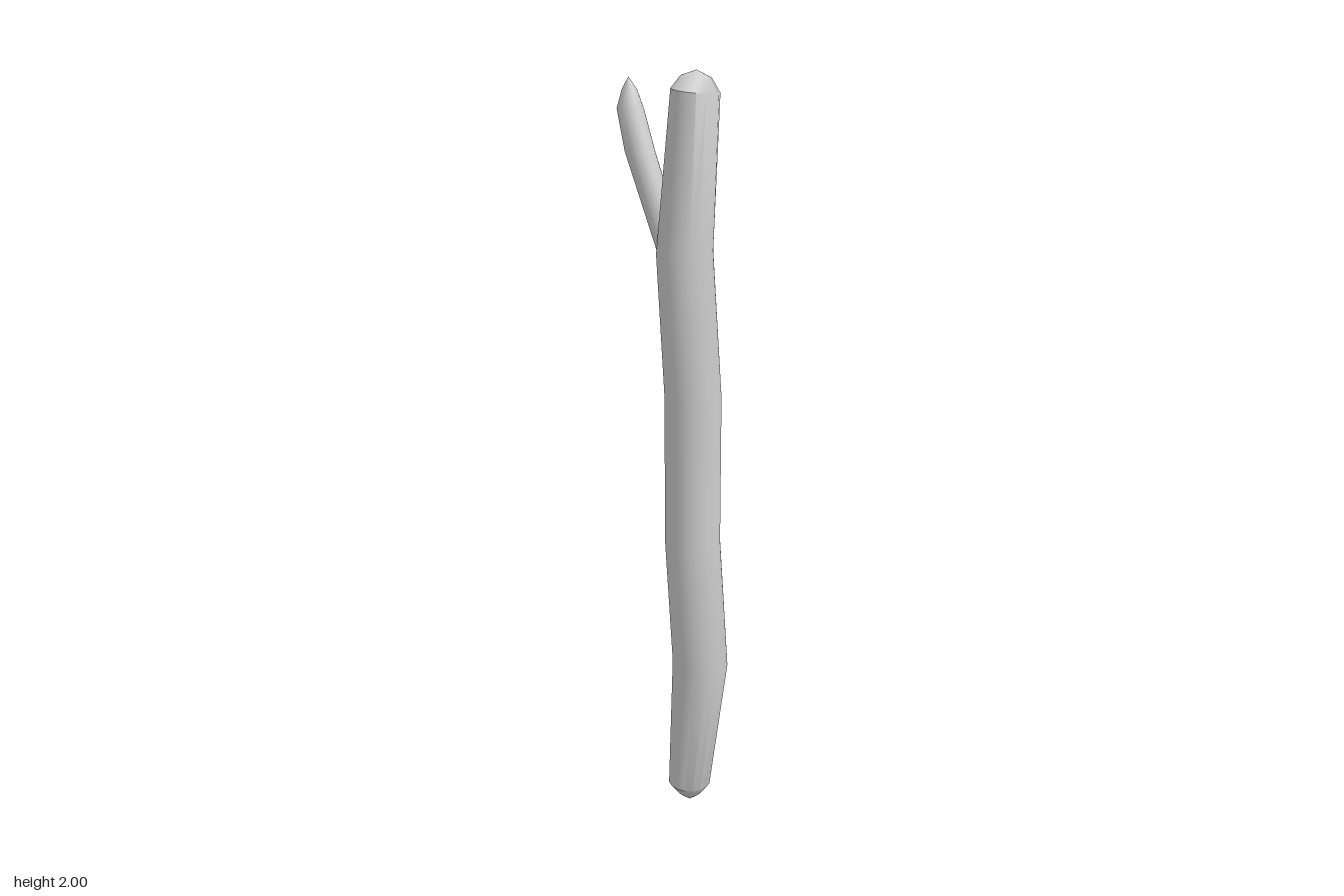
import * as THREE from 'three';
import { toCreasedNormals } from 'three/addons/utils/BufferGeometryUtils.js';

const SIDES = 16;

// Skin a stack of elliptical rings: [left x, right x, y, z radius, tilt]; first and last rings are points
function loft(rings, cz = 0) {
  const pos = [], index = [];
  for (const [x0, x1, y, rz, tilt = 0] of rings) {
    for (let j = 0; j < SIDES; j++) {
      const a = (j / SIDES) * Math.PI * 2;
      pos.push((x0 + x1) / 2 + ((x1 - x0) / 2) * Math.cos(a), y + tilt * Math.cos(a), cz - rz * Math.sin(a));
    }
  }
  const last = rings.length - 2;
  for (let i = 0; i <= last; i++) {
    for (let j = 0; j < SIDES; j++) {
      const k = (j + 1) % SIDES;
      const a = i * SIDES + j, b = i * SIDES + k, c = a + SIDES, d = b + SIDES;
      if (i > 0) index.push(a, b, d);
      if (i < last) index.push(a, d, c);
    }
  }
  // The lowest band fans out from its single point
  const g = new THREE.BufferGeometry();
  g.setAttribute('position', new THREE.Float32BufferAttribute(pos, 3));
  g.setIndex(index);
  return toCreasedNormals(g, 0.6);
}

export function createModel() {
  const group = new THREE.Group();
  group.name = 'forkedStick';
  const material = new THREE.MeshStandardMaterial({ color: 0xcccccc });

  const add = (name, geometry) => {
    const mesh = new THREE.Mesh(geometry, material);
    mesh.name = name;
    group.add(mesh);
  };

  // Main stick: blunt point, bent shaft, domed top
  add('stick', loft([
    [0.055, 0.055, 0, 0],
    [0.025, 0.085, 0.024, 0.032],
    [-0.005, 0.11, 0.058, 0.06, -0.003],
    [0.01, 0.163, 0.44, 0.076, -0.008],
    [-0.015, 0.135, 0.79, 0.076, -0.005],
    [-0.015, 0.135, 1.18, 0.076, 0.003],
    [-0.04, 0.105, 1.555, 0.076, 0.005],
    [0.01, 0.117, 1.951, 0.076, -0.008],
    [0.03, 0.1, 1.984, 0.045, -0.004],
    [0.066, 0.066, 2, 0],
  ]));

  // Side twig, rooted inside the stick
  add('twig', loft([
    [0.03, 0.03, 1.5, 0],
    [-0.038, 0.036, 1.55, 0.038],
    [-0.14, -0.06, 1.8, 0.038],
    [-0.165, -0.094, 1.905, 0.034],
    [-0.152, -0.112, 1.951, 0.02],
    [-0.135, -0.135, 1.983, 0],
  ], 0.008));

  return group;
}
